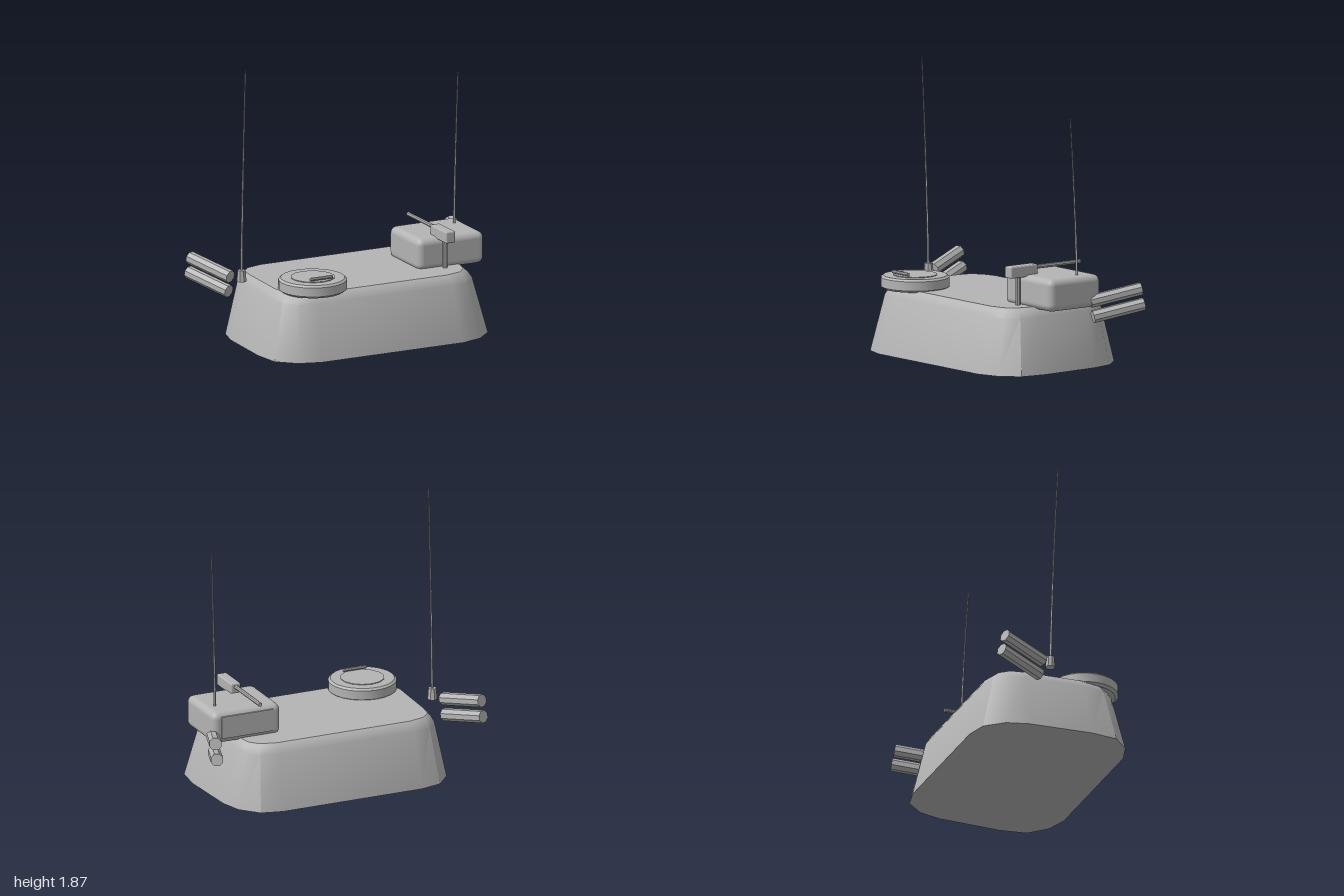
import * as THREE from 'three';
import { toCreasedNormals } from 'three/addons/utils/BufferGeometryUtils.js';
import { RoundedBoxGeometry } from 'three/addons/geometries/RoundedBoxGeometry.js';

export function createModel() {
  const grey = new THREE.MeshStandardMaterial({ color: 0xb4b4b4 });
  grey.name = 'plain grey';
  const model = new THREE.Group();
  model.name = 'turret';

  const add = (name, geometry, x = 0, y = 0, z = 0, parent = model) => {
    const mesh = new THREE.Mesh(geometry, grey);
    mesh.name = name;
    mesh.position.set(x, y, z);
    parent.add(mesh);
    return mesh;
  };
  const cylinder = (r1, r2, h, sides) =>
    toCreasedNormals(new THREE.CylinderGeometry(r1, r2, h, sides), 0.6);

  // Hull: loft between a wide base outline and a narrower roof outline
  const baseHalf = [[0.52, 0.535], [0.67, 0.49], [0.785, 0.38], [0.81, 0.2],
    [0.79, -0.23], [0.75, -0.38], [0.645, -0.5], [0.5, -0.535]];
  const roofHalf = [[0.48, 0.395], [0.59, 0.365], [0.65, 0.29], [0.675, 0.17],
    [0.66, -0.22], [0.645, -0.31], [0.59, -0.37], [0.48, -0.4]];
  const mirrored = (half) => [...half, ...half.map(([x, z]) => [-x, z]).reverse()];
  const base = mirrored(baseHalf);
  const roof = mirrored(roofHalf);
  const n = base.length;
  const levels = [[0, 0], [0.37, 0.64], [0.41, 0.82], [0.43, 1]]; // height, blend
  const positions = [];
  for (const [y, t] of levels) {
    base.forEach(([x, z], i) => positions.push(
      x + (roof[i][0] - x) * t, y, z + (roof[i][1] - z) * t));
  }
  positions.push(0, 0, 0, 0, 0.43, 0);
  const bottomCentre = n * levels.length;
  const topRing = n * (levels.length - 1);
  const index = [];
  for (let i = 0; i < n; i++) {
    const j = (i + 1) % n;
    for (let k = 0; k < levels.length - 1; k++) {
      const a = k * n, b = a + n;
      index.push(a + i, a + j, b + j, a + i, b + j, b + i);
    }
    index.push(bottomCentre, j, i, bottomCentre + 1, topRing + i, topRing + j);
  }
  const hull = new THREE.BufferGeometry();
  hull.setAttribute('position', new THREE.Float32BufferAttribute(positions, 3));
  hull.setIndex(index);
  add('hull', toCreasedNormals(hull, 0.58));

  // Round hatch with lid and handle
  const hatch = new THREE.Group();
  hatch.name = 'hatch';
  hatch.position.set(-0.455, 0, 0.285);
  model.add(hatch);
  const rim = [[0, 0.42], [0.205, 0.42], [0.225, 0.435], [0.225, 0.495], [0.21, 0.508], [0, 0.508]]
    .map(([r, y]) => new THREE.Vector2(r, y));
  add('hatchRing', toCreasedNormals(new THREE.LatheGeometry(rim, 24), 0.6), 0, 0, 0, hatch);
  add('hatchLid', cylinder(0.145, 0.145, 0.01, 14), 0, 0.508, 0, hatch);
  add('hatchHandle', cylinder(0.012, 0.012, 0.16, 8), 0, 0.53, 0.12, hatch).rotation.z = Math.PI / 2;

  // Rounded cupola with rear panel
  add('cupola', new RoundedBoxGeometry(0.49, 0.215, 0.425, 3, 0.045), 0.615, 0.52, -0.015);
  add('rearPanel', new THREE.BoxGeometry(0.37, 0.15, 0.009), 0.615, 0.525, -0.23);

  // Machine gun on its post
  add('gunPost', cylinder(0.016, 0.016, 0.21, 8), 0.55, 0.515, 0.225);
  add('gunBody', new RoundedBoxGeometry(0.07, 0.078, 0.225, 2, 0.01), 0.55, 0.652, 0.195);
  add('gunBarrel', cylinder(0.014, 0.014, 0.4, 8), 0.55, 0.667, -0.09).rotation.x = Math.PI / 2;

  // Paired smoke launchers, mirrored on both sides
  const up = new THREE.Vector3(0, 1, 0);
  for (const side of [-1, 1]) {
    const rack = new THREE.Group();
    rack.name = side > 0 ? 'leftLaunchers' : 'rightLaunchers';
    model.add(rack);
    for (const [y, z] of [[0.45, -0.155], [0.347, -0.177]]) {
      const start = new THREE.Vector3(side * 0.83, y, z);
      const along = new THREE.Vector3(side * 0.13, 0.07, -0.32);
      const tube = add('launcherTube', cylinder(0.043, 0.043, along.length(), 8), 0, 0, 0, rack);
      tube.position.copy(start).addScaledVector(along, 0.5);
      tube.quaternion.setFromUnitVectors(up, along.clone().normalize());
    }
  }

  // Whip antennas leaning gently forward
  const antenna = (name, x, y0, y1) => {
    const h = y1 - y0;
    const geometry = new THREE.CylinderGeometry(0.004, 0.008, h, 6, 8);
    geometry.translate(0, h / 2, 0);
    const p = geometry.attributes.position;
    for (let i = 0; i < p.count; i++) {
      p.setZ(i, p.getZ(i) + 0.053 * Math.pow(Math.max(0, p.getY(i) / h), 1.4));
    }
    geometry.computeVertexNormals();
    add(name, geometry, x, y0, -0.083);
  };
  antenna('rightAntenna', -0.785, 0.47, 1.87);
  antenna('leftAntenna', 0.78, 0.61, 1.66);
  add('antennaBase', cylinder(0.028, 0.034, 0.075, 8), -0.785, 0.47, -0.085);

  return model;
}
